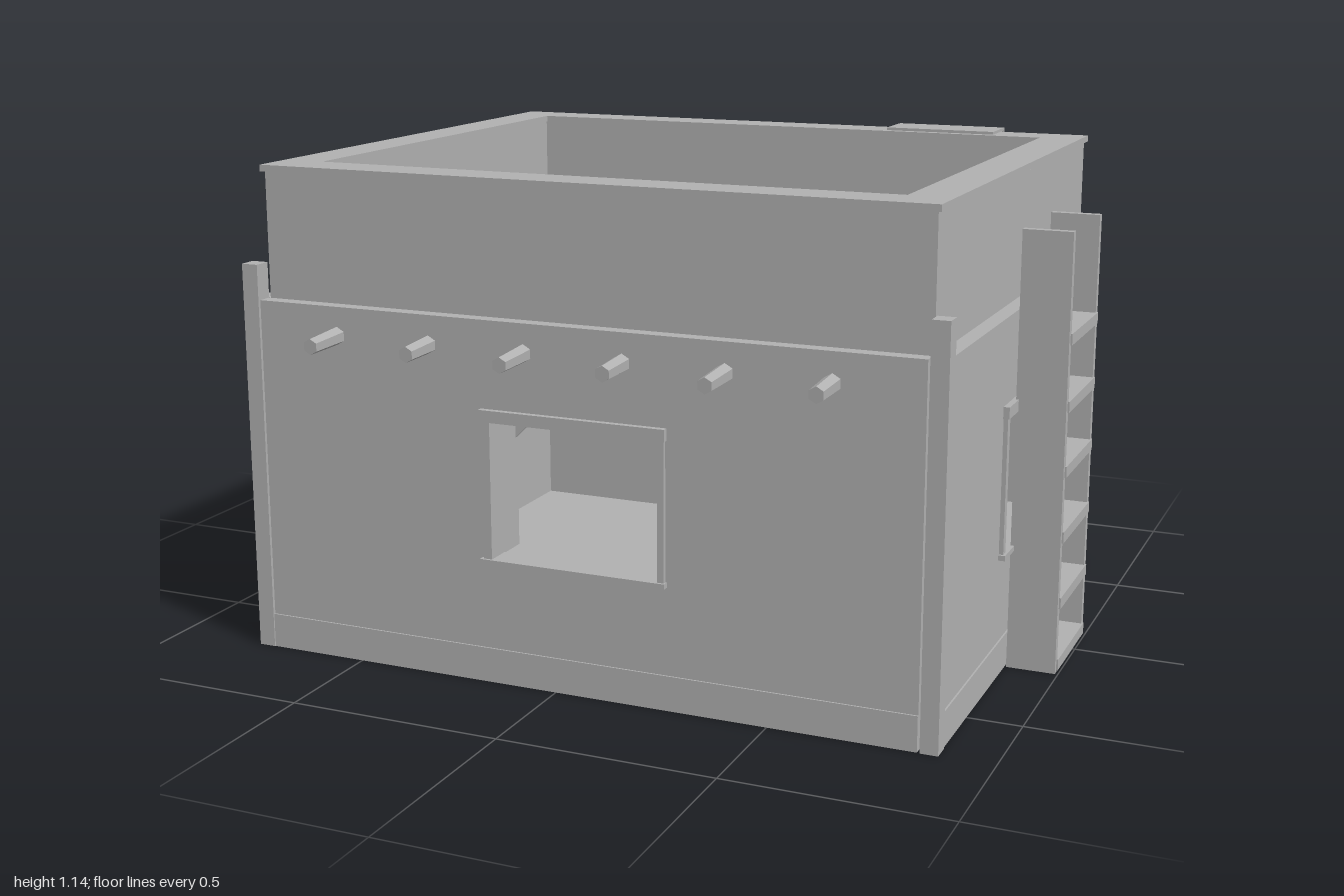
import * as THREE from 'three';

export function createModel() {
  const root = new THREE.Group();
  root.name = 'adobeHouse';
  const clay = new THREE.MeshStandardMaterial({ color: 0xb0b0b0, flatShading: true, side: THREE.DoubleSide });
  clay.name = 'plainClay';

  const add = (name, geo, parent = root) => {
    const m = new THREE.Mesh(geo, clay);
    m.name = name;
    parent.add(m);
    return m;
  };
  // box given by its limits on each axis
  const box = (name, x0, x1, y0, y1, z0, z1, parent = root) => {
    const m = add(name, new THREE.BoxGeometry(x1 - x0, y1 - y0, z1 - z0), parent);
    m.position.set((x0 + x1) / 2, (y0 + y1) / 2, (z0 + z1) / 2);
    return m;
  };
  const rect = (T, x0, x1, y0, y1) => {
    const s = new T();
    s.moveTo(x0, y0); s.lineTo(x1, y0); s.lineTo(x1, y1); s.lineTo(x0, y1); s.closePath();
    return s;
  };
  const extrude = (shape, depth) => new THREE.ExtrudeGeometry(shape, { depth, bevelEnabled: false });
  const group = (name) => {
    const g = new THREE.Group();
    g.name = name;
    root.add(g);
    return g;
  };

  // Lower walls: each is modelled facing +z and turned into place
  const T = 0.12;
  const wall = (name, out, turn, a, b, hole) => {
    const g = group(name);
    const s = rect(THREE.Shape, a, b, 0.03, 0.83);
    if (hole) s.holes.push(rect(THREE.Path, ...hole));
    add('wallPanel', extrude(s, T), g).position.z = out - T;
    g.rotation.y = turn;
    return g;
  };
  const skirt = (g, out, a, b) => box('skirting', a, b, 0, 0.08, out - 0.04, out + 0.004, g);
  // window surround with small corner braces on the inside
  const windowFrame = (g, out, a, b, braces) => {
    box('lintel', a - 0.025, b + 0.018, 0.605, 0.632, out - 0.05, out + 0.014, g);
    box('sill', a - 0.027, b + 0.018, 0.28, 0.292, out - 0.05, out + 0.016, g);
    box('jamb', a - 0.02, a, 0.29, 0.61, out - 0.05, out + 0.01, g);
    box('jamb', b, b + 0.015, 0.29, 0.61, out - 0.05, out + 0.01, g);
    for (const [x, y, dx, dy] of braces) {
      const s = new THREE.Shape();
      s.moveTo(x, y); s.lineTo(x + dx, y); s.lineTo(x, y + dy); s.closePath();
      add('cornerBrace', extrude(s, 0.008), g).position.z = out - T;
    }
  };

  const front = wall('frontWall', 0.717, 0, -0.738, 0.832, [-0.15, 0.25, 0.29, 0.607]);
  skirt(front, 0.717, -0.738, 0.832);
  windowFrame(front, 0.717, -0.15, 0.25, [[-0.15, 0.607, 0.065, -0.065], [0.25, 0.607, -0.065, -0.065]]);

  const right = wall('ladderWall', 0.872, Math.PI / 2, -0.677, 0.627, [-0.23, 0.17, 0.29, 0.607]);
  skirt(right, 0.872, -0.677, 0.627);
  windowFrame(right, 0.872, -0.23, 0.17, [[-0.23, 0.607, 0.05, -0.05], [0.17, 0.29, -0.05, 0.05]]);

  const left = wall('logWall', 0.773, -Math.PI / 2, -0.627, 0.677);
  skirt(left, 0.773, -0.627, 0.677);

  // Back wall, with a doorway open to the ground
  const back = group('backWall');
  back.rotation.y = Math.PI;
  const bs = new THREE.Shape();
  [[-0.832, 0.03], [-0.31, 0.03], [-0.31, 0.65], [0.22, 0.65], [0.22, 0.03], [0.738, 0.03], [0.738, 0.83], [-0.832, 0.83]]
    .forEach(([x, y], i) => (i ? bs.lineTo(x, y) : bs.moveTo(x, y)));
  bs.closePath();
  add('wallPanel', extrude(bs, T), back).position.z = 0.667 - T;
  skirt(back, 0.667, -0.832, -0.33);
  skirt(back, 0.667, 0.24, 0.738);
  box('doorLintel', -0.33, 0.24, 0.645, 0.67, 0.6, 0.677, back);
  box('doorJamb', -0.33, -0.305, 0, 0.65, 0.6, 0.675, back);
  box('doorJamb', 0.215, 0.24, 0, 0.65, 0.6, 0.675, back);

  // Floor and roof deck
  box('floor', -0.737, 0.832, 0.03, 0.05, -0.63, 0.68);
  box('roofDeck', -0.7, 0.8, 0.825, 0.92, -0.6, 0.65);

  // Parapet and its coping (drawn in plan, laid flat)
  const ring = (name, o, h, y0, y1) => {
    const s = rect(THREE.Shape, ...o);
    s.holes.push(rect(THREE.Path, ...h));
    const m = add(name, extrude(s, y1 - y0));
    m.rotation.x = -Math.PI / 2;
    m.position.y = y0;
  };
  ring('parapet', [-0.733, 0.835, -0.683, 0.63], [-0.65, 0.75, -0.595, 0.55], 0.82, 1.122);
  ring('coping', [-0.742, 0.843, -0.69, 0.638], [-0.643, 0.742, -0.587, 0.54], 1.12, 1.135);

  // Corner posts on small footings
  for (const x of [-0.759, 0.858]) {
    for (const z of [-0.654, 0.702]) {
      box('cornerPost', x - 0.02, x + 0.02, 0.08, 0.912, z - 0.021, z + 0.021);
      box('postFooting', x - 0.02, x + 0.02, 0, 0.08, z - 0.021, z + 0.021);
    }
  }

  // Roof beam ends, front and back
  for (let i = 0; i < 6; i++) {
    const x = -0.537 + i * 0.234;
    for (const [z0, z1] of [[0.66, 0.825 - (i % 2) * 0.012], [-0.61, i % 2 ? -0.79 : -0.775]]) {
      const g = new THREE.CylinderGeometry(0.018, 0.022, Math.abs(z1 - z0), 6);
      const m = add('beamEnd', g);
      m.rotation.x = Math.sign(z1) * (Math.PI / 2 + 0.04);
      m.position.set(x, 0.763, (z0 + z1) / 2);
    }
  }

  // Roof drain spouts
  for (const z of [-0.29, 0.36]) box('drainSpout', -0.867, -0.7, 0.922, 0.946, z - 0.021, z + 0.021);

  // Ladder
  const ladder = group('ladder');
  for (const z of [0.165, -0.105]) box('rail', 0.88, 0.993, 0, 1.015, z - 0.01, z + 0.01, ladder);
  for (const y of [0.018, 0.165, 0.32, 0.473, 0.622, 0.775]) {
    box('rung', 0.877, 0.997, y - 0.013, y + 0.013, -0.103, 0.163, ladder);
  }

  // Firewood stack
  const stack = group('firewood');
  [5, 4, 3].forEach((n, row) => {
    for (let i = 0; i < n; i++) {
      const end = -1 + ((i * 2 + row) % 3) * 0.012;
      const m = add('log', new THREE.CylinderGeometry(0.021, 0.021, -0.76 - end, 6), stack);
      m.rotation.z = Math.PI / 2;
      m.position.set((end - 0.76) / 2, 0.021 + row * 0.041, -0.055 + (i - (n - 1) / 2) * 0.042);
    }
  });

  // Water jar
  const jar = [[0, 0], [0.032, 0], [0.06, 0.045], [0.06, 0.085], [0.028, 0.118], [0.033, 0.13], [0.022, 0.13], [0.018, 0.11], [0, 0.1]];
  add('waterJar', new THREE.LatheGeometry(jar.map((p) => new THREE.Vector2(...p)), 8)).position.set(-0.41, 0, -0.772);

  // Hanging dried bundle on a string
  const spindle = [[0, 0.395], [0.007, 0.41], [0.023, 0.5], [0.021, 0.54], [0.009, 0.605], [0, 0.607]];
  add('driedBundle', new THREE.LatheGeometry(spindle.map((p) => new THREE.Vector2(...p)), 6)).position.set(0.4, 0, -0.692);
  box('string', 0.397, 0.403, 0.6, 0.74, -0.682, -0.667);

  // Blanket over the back parapet, with rows of raised stitching
  const rug = group('blanket');
  box('blanketTop', 0.335, 0.617, 1.135, 1.142, -0.675, -0.56, rug);
  box('blanketHang', 0.335, 0.617, 0.87, 1.142, -0.675, -0.668, rug);
  for (const y of [0.94, 1.0, 1.06]) {
    for (let i = 0; i < 5; i++) {
      const x = 0.35 + i * 0.054;
      box('stitch', x, x + 0.036, y - 0.003, y + 0.003, -0.678, -0.67, rug);
    }
  }
  return root;
}
